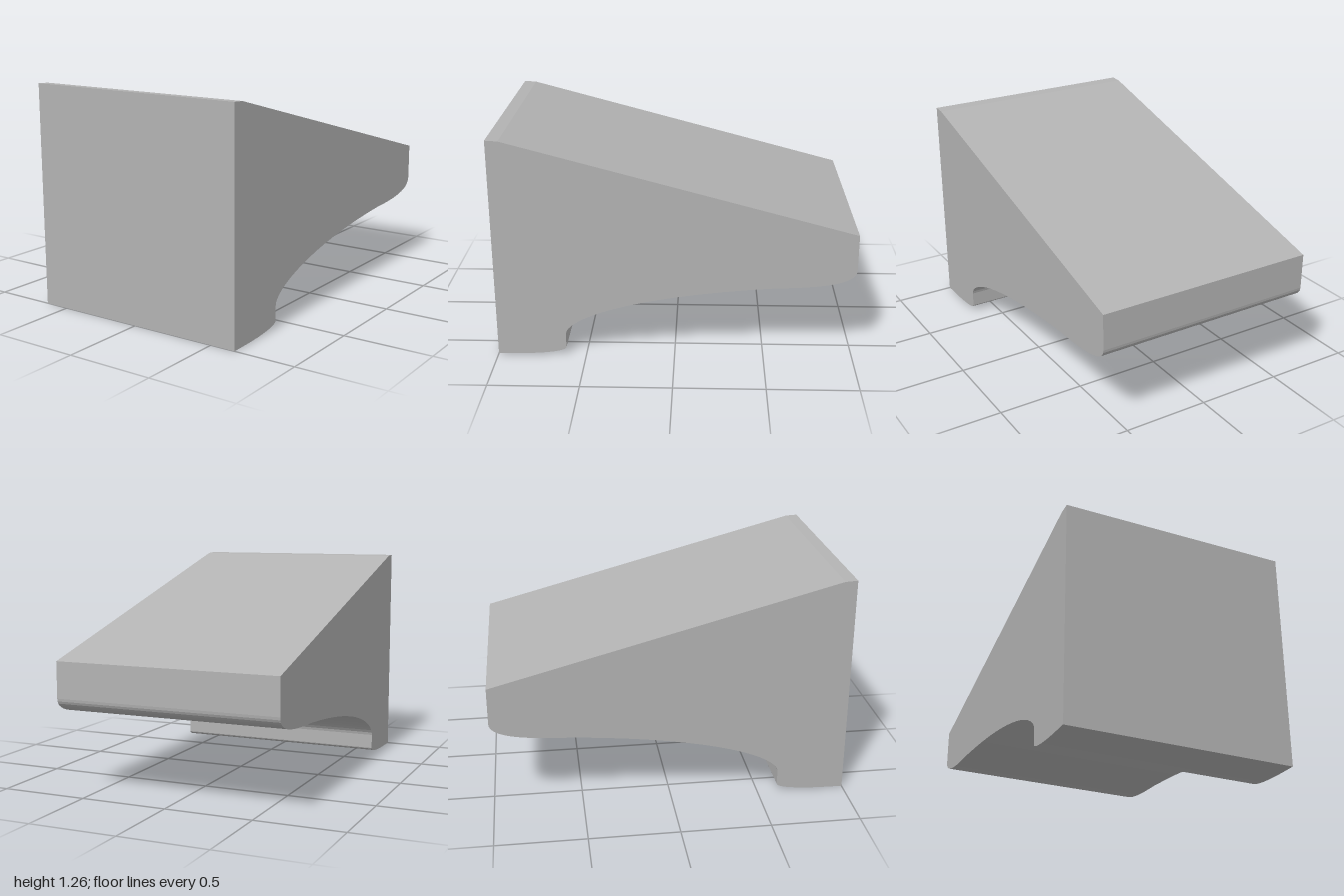
import * as THREE from 'three';

export function createModel() {
  const group = new THREE.Group();
  const grey = new THREE.MeshStandardMaterial({ color: 0xb3b3b3 });
  grey.name = 'light grey';

  // Side profile: horizontal axis runs from the front (-1) to the back (+1)
  const profile = new THREE.Shape();
  profile.moveTo(-1, 0);
  profile.lineTo(-0.88, 0.002);
  profile.bezierCurveTo(-0.74, 0.005, -0.615, 0.02, -0.613, 0.045); // rounded foot
  profile.lineTo(-0.613, 0.13);
  profile.bezierCurveTo(-0.61, 0.215, -0.28, 0.367, 0.55, 0.427); // hollow underside
  profile.bezierCurveTo(0.8, 0.435, 1, 0.455, 1, 0.54); // rounded rear lip
  profile.lineTo(1, 0.745);
  profile.lineTo(0.93 * -1, 1.26); // sloping top
  profile.lineTo(-1, 1.264);
  profile.closePath();

  // Sweep the profile across the width
  const width = 1.296;
  const geometry = new THREE.ExtrudeGeometry(profile, { depth: width, bevelEnabled: false, curveSegments: 16 });
  geometry.translate(0, 0, -width / 2);
  geometry.rotateY(Math.PI / 2);

  const body = new THREE.Mesh(geometry, grey);
  body.name = 'wedgeBody';
  group.add(body);
  return group;
}
